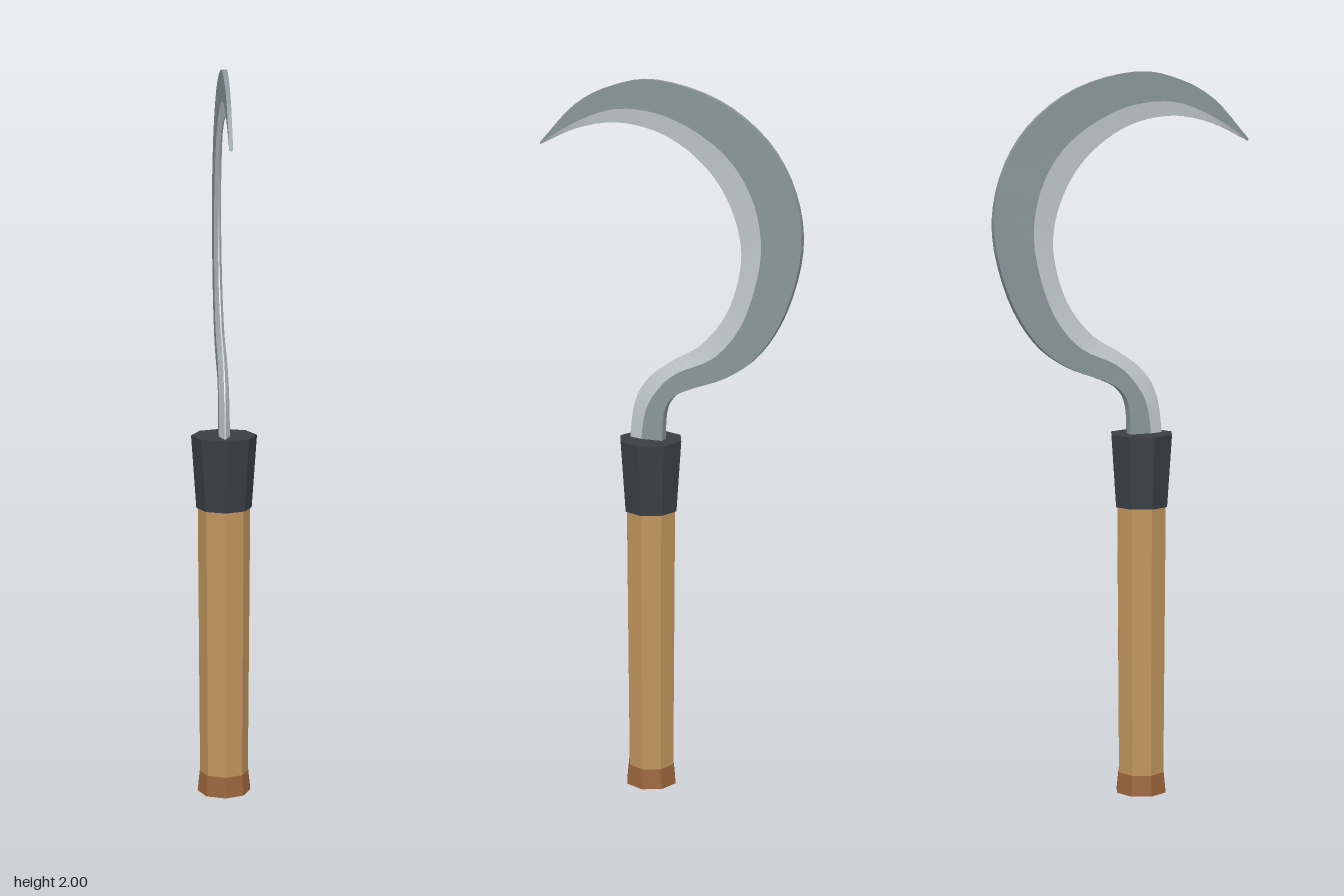
import * as THREE from 'three';

const paint = (name, color) => {
  const m = new THREE.MeshStandardMaterial({ color });
  m.name = name;
  return m;
};

// Blade stations from ferrule to tip: [edge z, y, bevel z, y, spine z, y]
const STATIONS = [
  [0.12, 0.99, 0.082, 0.99, 0.019, 0.99],
  [0.103, 1.113, 0.066, 1.097, 0.013, 1.092],
  [0.061, 1.187, 0.024, 1.166, -0.013, 1.139],
  [-0.008, 1.24, -0.029, 1.211, -0.061, 1.166],
  [-0.087, 1.288, -0.125, 1.256, -0.167, 1.208],
  [-0.151, 1.362, -0.193, 1.33, -0.257, 1.277],
  [-0.188, 1.447, -0.236, 1.426, -0.331, 1.399],
  [-0.204, 1.547, -0.262, 1.558, -0.374, 1.569],
  [-0.183, 1.648, -0.241, 1.685, -0.352, 1.722],
  [-0.13, 1.744, -0.178, 1.791, -0.273, 1.855],
  [-0.05, 1.818, -0.082, 1.865, -0.135, 1.955],
  [0.045, 1.865, 0.029, 1.91, 0.04, 2.0],
  [0.156, 1.881, 0.151, 1.918, 0.167, 1.979],
  [0.268, 1.86, 0.262, 1.881, 0.273, 1.924],
  [0.376, 1.811, 0.376, 1.814, 0.375, 1.818],
];
const STEPS = 56;

// Joins the six-point blade sections, keeping only the chosen strips
function bladeStrips(sections, strips) {
  const pos = [];
  const quad = (a, b, c, d) => [a, b, c, a, c, d].forEach((p) => pos.push(p.x, p.y, p.z));
  for (let i = 0; i < sections.length - 1; i++) {
    const s = sections[i], t = sections[i + 1];
    for (const k of strips) {
      const n = (k + 1) % 6;
      quad(s[k], s[n], t[n], t[k]);
    }
  }
  const e = sections[sections.length - 1];
  if (strips.includes(2)) quad(e[1], e[2], e[3], e[4]);
  else quad(e[0], e[1], e[4], e[5]);
  const g = new THREE.BufferGeometry();
  g.setAttribute('position', new THREE.Float32BufferAttribute(pos, 3));
  g.computeVertexNormals();
  return g;
}

export function createModel() {
  const wood = paint('wood', 0xc0945c);
  const darkWood = paint('dark wood', 0x99633a);
  const iron = paint('dark iron', 0x3a3f47);
  const steel = paint('steel', 0x8a979b);
  const honed = paint('honed steel', 0xc2cacc);
  [wood, darkWood, iron].forEach((m) => { m.flatShading = true; });

  const model = new THREE.Group();
  model.name = 'sickle';

  // Octagonal handle parts stacked on one axis
  const octagon = (name, rTop, rBottom, y0, y1, material) => {
    const mesh = new THREE.Mesh(new THREE.CylinderGeometry(rTop, rBottom, y1 - y0, 8), material);
    mesh.name = name;
    mesh.position.set(0, (y0 + y1) / 2, 0.057);
    model.add(mesh);
  };
  octagon('pommel', 0.068, 0.074, 0, 0.058, darkWood);
  octagon('handle', 0.072, 0.067, 0.058, 0.815, wood);
  octagon('ferrule', 0.09, 0.076, 0.812, 1.014, iron);

  // Blade sections along smooth edge, bevel and spine curves
  const curves = [0, 2, 4].map((c) => new THREE.CatmullRomCurve3(
    STATIONS.map((s) => new THREE.Vector3(0, s[c + 1], s[c])), false, 'catmullrom', 0.5));
  const sections = [];
  for (let i = 0; i <= STEPS; i++) {
    const t = i / STEPS;
    const half = THREE.MathUtils.lerp(0.015, 0.005, t);
    const [edge, bevel, spine] = curves.map((c) => c.getPoint(t));
    const at = (p, x) => new THREE.Vector3(x, p.y, p.z);
    sections.push([at(edge, 0.002), at(bevel, half), at(spine, half),
      at(spine, -half), at(bevel, -half), at(edge, -0.002)]);
  }
  const blade = new THREE.Mesh(bladeStrips(sections, [1, 2, 3]), steel);
  blade.name = 'blade';
  const edge = new THREE.Mesh(bladeStrips(sections, [0, 4, 5]), honed);
  edge.name = 'cuttingEdge';
  model.add(blade, edge);
  return model;
}
